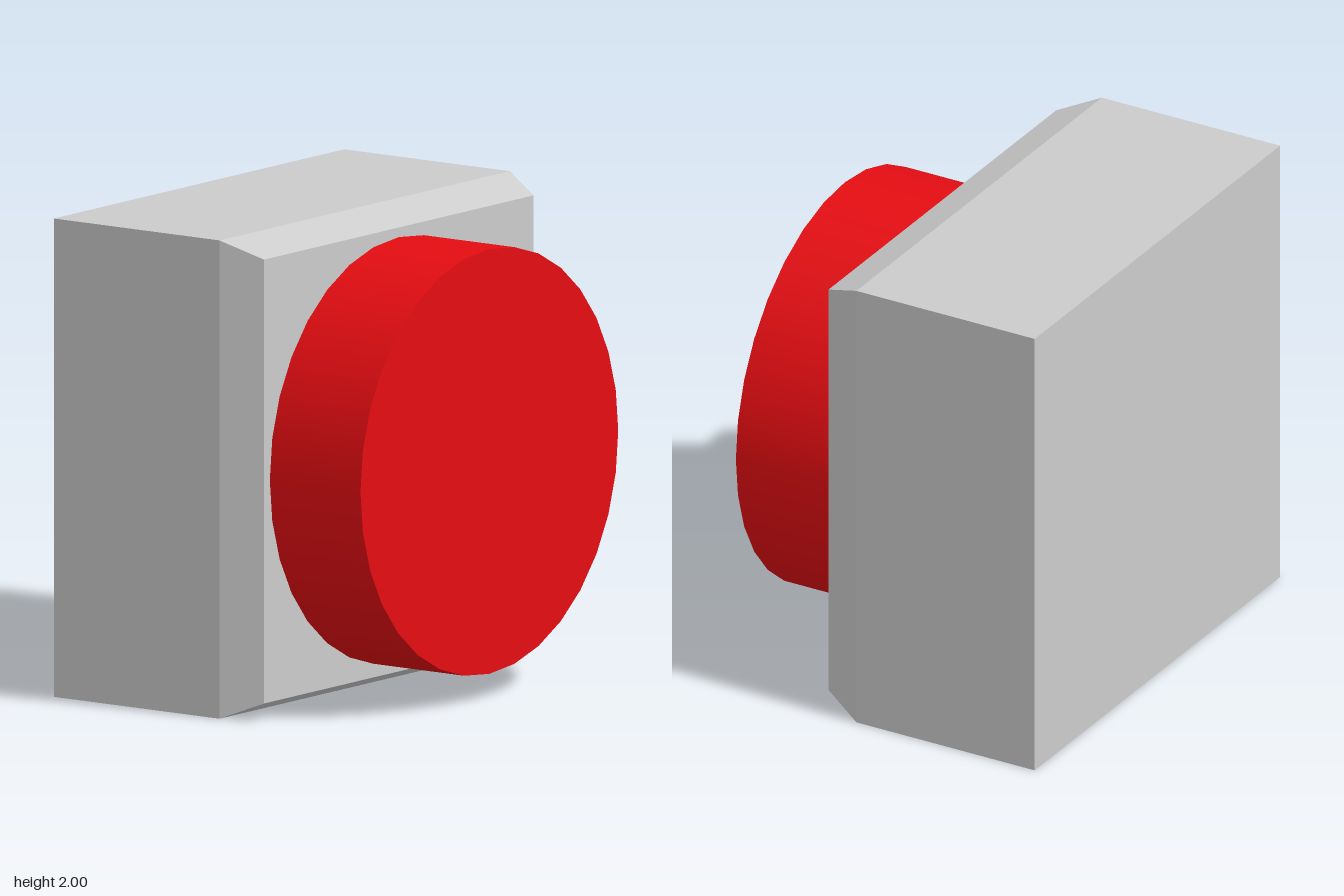
import * as THREE from 'three';

const BACK = -0.745, BEVEL = 0.105, FACE = 0.28, TIP = 0.745;

export function createModel() {
  const group = new THREE.Group();

  // Housing: a box with two segments along x, its +x end drawn in to form the bevel
  const housingGeometry = new THREE.BoxGeometry(2, 2, 2, 2, 1, 1);
  const p = housingGeometry.attributes.position;
  for (let i = 0; i < p.count; i++) {
    const x = p.getX(i);
    const scale = x > 0.5 ? 0.928 : 1;
    p.setXYZ(i, x < -0.5 ? BACK : x > 0.5 ? FACE : BEVEL, p.getY(i) * scale, p.getZ(i) * scale);
  }
  housingGeometry.computeVertexNormals();
  const housing = new THREE.Mesh(
    housingGeometry,
    new THREE.MeshStandardMaterial({ color: 0xcccccc, flatShading: true })
  );
  housing.name = 'housing';
  housing.position.y = 1;
  group.add(housing);

  // Round push button on the bevelled side
  const button = new THREE.Mesh(
    new THREE.CylinderGeometry(0.888, 0.888, TIP - FACE, 32),
    new THREE.MeshStandardMaterial({ color: 0xe50d12 })
  );
  button.name = 'button';
  button.rotation.z = -Math.PI / 2;
  button.position.set((FACE + TIP) / 2, 1, 0);
  group.add(button);

  return group;
}
